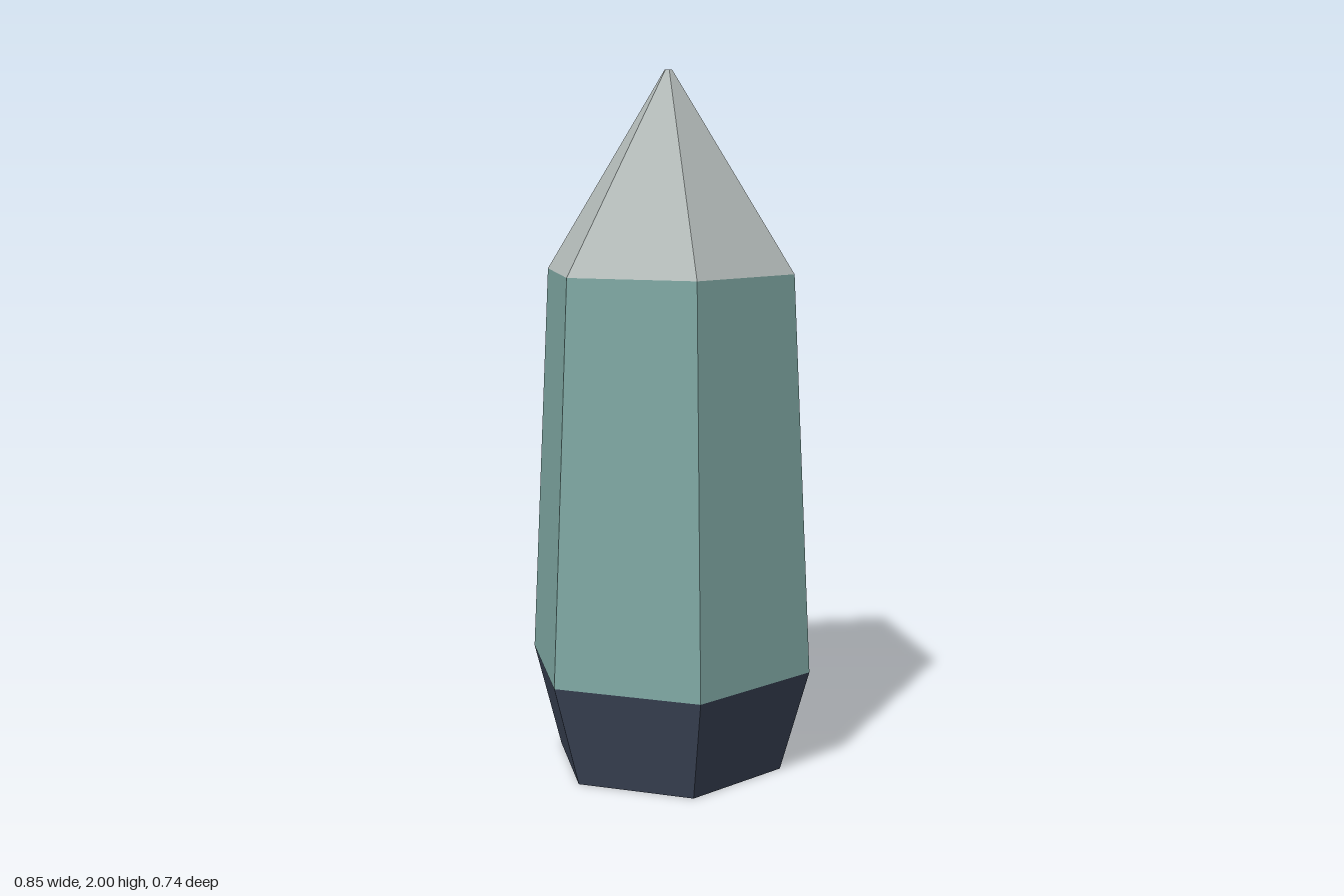
import * as THREE from 'three';

const SIDES = 6;

// One tapered hexagonal section, with corners on the x axis
function section(name, color, y0, r0, y1, r1) {
  const geometry = new THREE.CylinderGeometry(r1, r0, y1 - y0, SIDES, 1, false, Math.PI / 2);
  const material = new THREE.MeshStandardMaterial({ color, flatShading: true });
  const mesh = new THREE.Mesh(geometry, material);
  mesh.name = name;
  mesh.position.y = (y0 + y1) / 2;
  return mesh;
}

export function createModel() {
  const crystal = new THREE.Group();
  crystal.name = 'crystal';
  crystal.add(
    section('base', 0x3c4558, 0, 0.342, 0.3, 0.426),
    section('shaft', 0x7fa8a3, 0.3, 0.426, 1.44, 0.368),
    section('tip', 0xb4bcba, 1.44, 0.368, 2, 0.011) // tiny flat end
  );
  return crystal;
}
